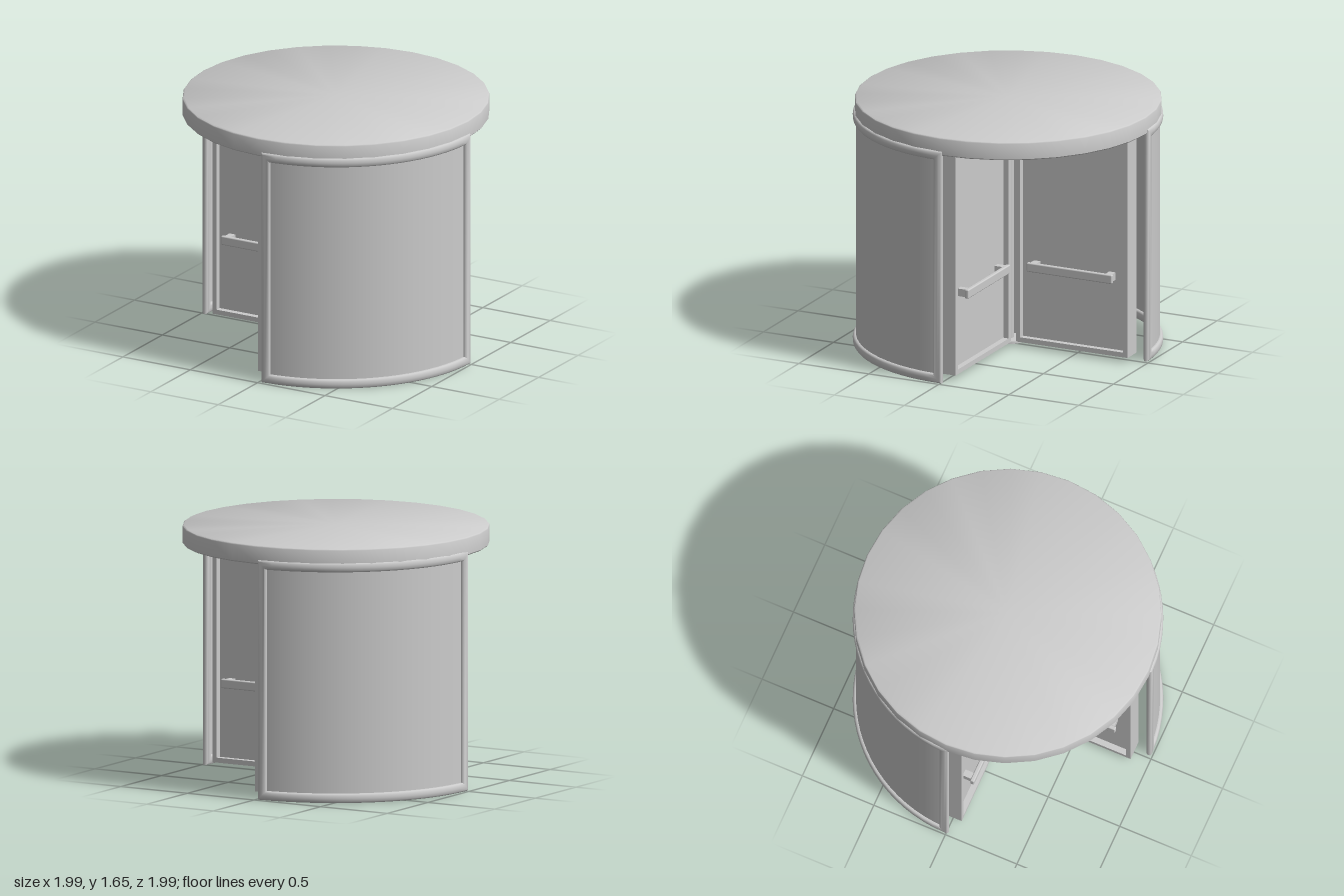
import * as THREE from 'three';
import { toCreasedNormals } from 'three/addons/utils/BufferGeometryUtils.js';
import { RoundedBoxGeometry } from 'three/addons/geometries/RoundedBoxGeometry.js';

const grey = new THREE.MeshStandardMaterial({ color: 0xcccccc });
const greyDouble = new THREE.MeshStandardMaterial({ color: 0xcccccc, side: THREE.DoubleSide });

function add(parent, name, geometry, x = 0, y = 0, z = 0, material = grey) {
  const mesh = new THREE.Mesh(geometry, material);
  mesh.name = name;
  mesh.position.set(x, y, z);
  parent.add(mesh);
  return mesh;
}

// Rounded bar swept around a rectangle that is bent onto a cylinder
function curvedFrameGeometry(radius, a0, a1, y0, y1, half, depth) {
  const steps = 20, sides = 12;
  const path = []; // angle, height, inward direction (angle, height)
  for (let i = 0; i <= steps; i++) {
    const t = i / steps;
    path.push([a0 + (a1 - a0) * t, y0, i === 0 ? 1 : i === steps ? -1 : 0, 1]);
  }
  for (let i = steps; i >= 0; i--) {
    const t = i / steps;
    path.push([a0 + (a1 - a0) * t, y1, i === 0 ? 1 : i === steps ? -1 : 0, -1]);
  }
  const positions = [], index = [];
  path.forEach(([angle, y, da, dy], i) => {
    for (let j = 0; j < sides; j++) {
      const p = (j / sides) * Math.PI * 2;
      // squarish oval section
      const round = v => Math.sign(v) * Math.pow(Math.abs(v), 0.75);
      const inward = half * round(Math.cos(p));
      const r = radius + depth * round(Math.sin(p));
      const a = angle + (da * inward) / radius;
      positions.push(r * Math.sin(a), y + dy * inward, r * Math.cos(a));
      const n = ((i + 1) % path.length) * sides, m = i * sides, k = (j + 1) % sides;
      index.push(m + j, n + j, n + k, m + j, n + k, m + k);
    }
  });
  const g = new THREE.BufferGeometry();
  g.setAttribute('position', new THREE.Float32BufferAttribute(positions, 3));
  g.setIndex(index);
  return toCreasedNormals(g, 0.75);
}

// Curved side wall: bent frame with a thin panel
function createWall() {
  const wall = new THREE.Group();
  wall.name = 'curvedWall';
  const R = 0.974, half = 0.031, start = 0.05, end = Math.PI / 2 - 0.018;
  add(wall, 'wallFrame', curvedFrameGeometry(R, start, end, half, 1.56 - half, half, 0.021), 0, 0, 0, greyDouble);
  add(wall, 'wallPanel',
    new THREE.CylinderGeometry(R, R, 1.5, 20, 1, true, start, end - start), 0, 0.78, 0, greyDouble);
  return wall;
}

// Door wing running out along +x, with a push bar on both faces
function createWing() {
  const wing = new THREE.Group();
  wing.name = 'doorWing';
  const x0 = 0.087, x1 = 0.885, y0 = 0.035, y1 = 1.52, border = 0.032, thick = 0.128;
  const rect = (path, x, y, X, Y) =>
    path.moveTo(x, y).lineTo(X, y).lineTo(X, Y).lineTo(x, Y).closePath();
  const shape = new THREE.Shape();
  rect(shape, x0, y0, x1, y1);
  const hole = new THREE.Path();
  rect(hole, x0 + border, y0 + border, x1 - border, y1 - border);
  shape.holes.push(hole);
  add(wing, 'wingFrame',
    new THREE.ExtrudeGeometry(shape, { depth: thick, bevelEnabled: false }), 0, 0, -thick / 2);
  add(wing, 'wingPanel',
    new THREE.BoxGeometry(x1 - x0 - border, y1 - y0 - border, 0.05), (x0 + x1) / 2, (y0 + y1) / 2, 0);

  for (const side of [-1, 1]) {
    add(wing, 'pushBar', new RoundedBoxGeometry(0.61, 0.06, 0.028, 3, 0.008), 0.49, 0.56, side * 0.096);
    for (const x of [0.222, 0.758]) {
      add(wing, 'pushBarBracket', new THREE.BoxGeometry(0.045, 0.05, 0.075), x, 0.56, side * 0.056);
    }
  }
  return wing;
}

export function createModel() {
  const model = new THREE.Group();
  model.name = 'revolvingDoor';

  // Roof disc with a softened rim
  const rim = [[0, 1.53], [0.978, 1.53], [0.985, 1.537], [0.985, 1.64], [0.982, 1.646], [0.975, 1.65], [0, 1.65]];
  const roof = new THREE.LatheGeometry(rim.map(([x, y]) => new THREE.Vector2(x, y)), 32);
  add(model, 'roof', toCreasedNormals(roof, 0.6), -0.004, 0, 0);

  // Two opposite walls
  for (let i = 0; i < 2; i++) {
    const wall = createWall();
    wall.rotation.y = i * Math.PI;
    model.add(wall);
  }

  // Turning door: four wings around a thin post
  const door = new THREE.Group();
  door.name = 'turningDoor';
  for (let i = 0; i < 4; i++) {
    const wing = createWing();
    wing.rotation.y = (i * Math.PI) / 2;
    door.add(wing);
  }
  add(door, 'centrePost', new THREE.CylinderGeometry(0.04, 0.04, 1.51, 16), 0, 0.78, 0);
  add(door, 'bottomPivot', new THREE.CylinderGeometry(0.115, 0.115, 0.016, 24), 0, 0.03, 0);
  add(door, 'topPivot', new THREE.CylinderGeometry(0.115, 0.115, 0.014, 24), 0, 1.525, 0);
  model.add(door);

  return model;
}
